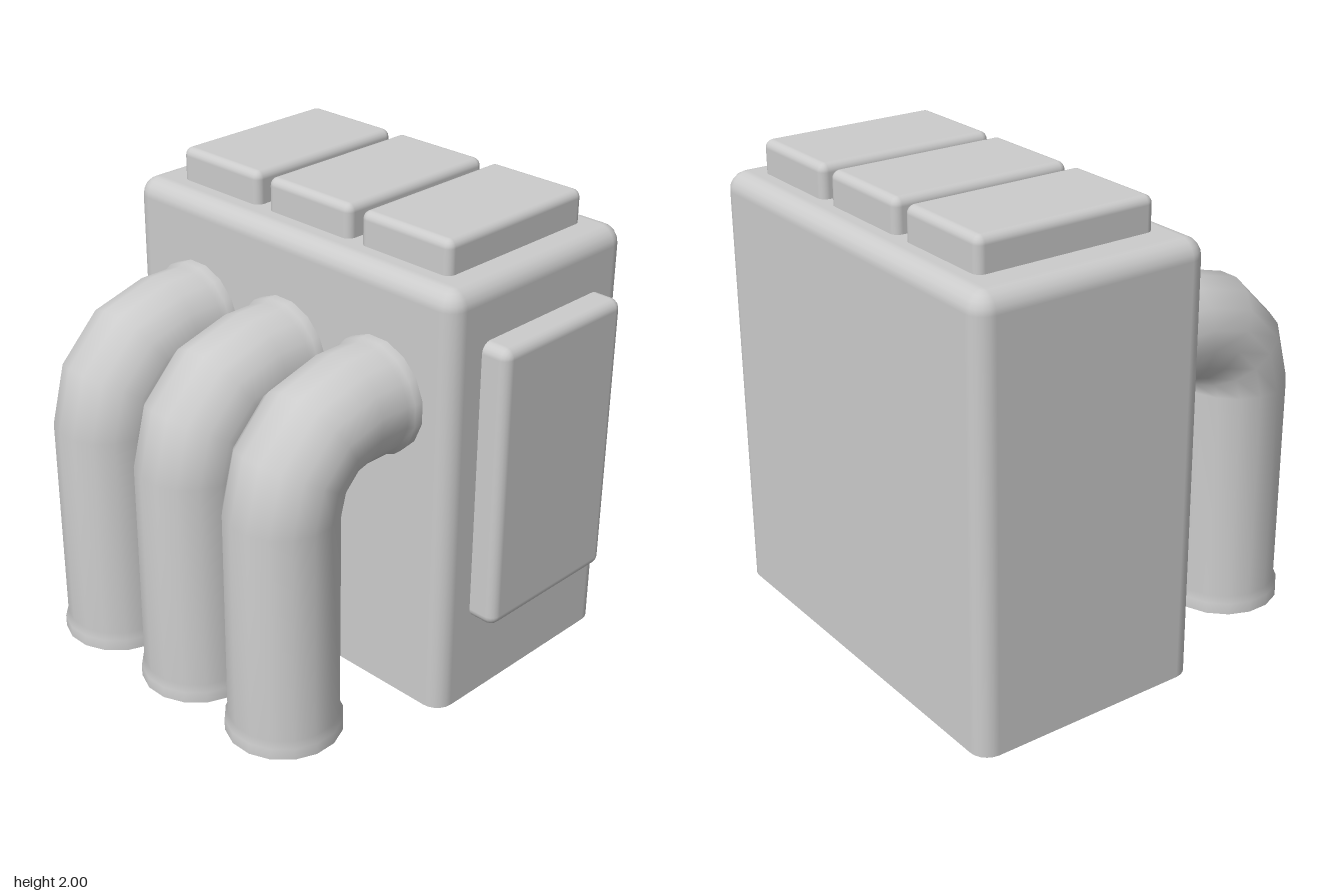
import * as THREE from 'three';

const material = new THREE.MeshStandardMaterial({ color: 0xcccccc, side: THREE.DoubleSide });

function makeMesh(name, positions, index, normals) {
  const g = new THREE.BufferGeometry();
  g.setAttribute('position', new THREE.Float32BufferAttribute(positions, 3));
  g.setIndex(index);
  if (normals) g.setAttribute('normal', new THREE.Float32BufferAttribute(normals, 3));
  else g.computeVertexNormals();
  const mesh = new THREE.Mesh(g, material);
  mesh.name = name;
  return mesh;
}

// Box open at the bottom, with rounded upright edges and a rounded top rim
function roundedShell(name, width, height, depth, r, steps = 5) {
  const pos = [], nor = [], index = [];
  const count = 4 * (steps + 1);
  const addRing = (y, phi) => {
    for (let corner = 0; corner < 4; corner++) {
      const sx = corner === 0 || corner === 3 ? 1 : -1;
      const sz = corner < 2 ? 1 : -1;
      for (let k = 0; k <= steps; k++) {
        const t = (corner + k / steps) * Math.PI / 2;
        const nx = Math.cos(phi) * Math.cos(t), nz = Math.cos(phi) * Math.sin(t);
        pos.push(sx * (width / 2 - r) + r * nx, y, sz * (depth / 2 - r) + r * nz);
        nor.push(nx, Math.sin(phi), nz);
      }
    }
  };
  addRing(0, 0);
  for (let k = 0; k <= steps; k++) {
    const phi = k / steps * Math.PI / 2;
    addRing(height - r + r * Math.sin(phi), phi);
  }
  for (let j = 0; j <= steps; j++) {
    for (let i = 0; i < count; i++) {
      const a = j * count + i, b = j * count + (i + 1) % count;
      index.push(a, a + count, b, b, a + count, b + count);
    }
  }
  // flat top
  const top = (steps + 1) * count;
  for (let i = 1; i < count - 1; i++) index.push(top, top + i + 1, top + i);
  return makeMesh(name, pos, index, nor);
}

// Bent pipe with a collar at each open end, leaving the wall and turning down
function bentPipe(name) {
  const sides = 16, pipeR = 0.229, collarR = 0.242;
  const bendZ = 0.35, bendY = 1.03, bendR = 0.31;
  const wall = bendY + bendR, drop = bendZ + bendR;
  // each ring: z, y, turn in degrees, radius
  const rings = [
    [0.14, wall, 0, collarR],
    [0.185, wall, 0, collarR],
    [0.212, wall, 0, pipeR],
  ];
  for (let deg = 0; deg <= 90; deg += 30) {
    const a = THREE.MathUtils.degToRad(deg);
    rings.push([bendZ + bendR * Math.sin(a), bendY + bendR * Math.cos(a), deg, pipeR]);
  }
  rings.push([drop, 0.11, 90, pipeR], [drop, 0.08, 90, collarR], [drop, 0.03, 90, collarR]);

  const pos = [], index = [];
  rings.forEach(([z, y, deg, r], j) => {
    const a = THREE.MathUtils.degToRad(deg);
    for (let i = 0; i < sides; i++) {
      const t = (i + 0.5) / sides * Math.PI * 2;
      const out = r * Math.sin(t);
      pos.push(r * Math.cos(t), y + out * Math.cos(a), z + out * Math.sin(a));
      if (j < rings.length - 1) {
        const p = j * sides + i, q = j * sides + (i + 1) % sides;
        index.push(p, q, p + sides, q, q + sides, p + sides);
      }
    }
  });
  return makeMesh(name, pos, index);
}

export function createModel() {
  const model = new THREE.Group();
  model.name = 'pipedCabinet';

  // main housing
  const body = roundedShell('body', 1.8, 1.86, 1.04, 0.08);
  body.position.set(-0.06, 0, -0.375);
  model.add(body);

  // three columns, each with a lid on top and a pipe in front
  for (let i = 0; i < 3; i++) {
    const x = -0.57 + i * 0.517;
    const lid = roundedShell(`topLid${i + 1}`, 0.46, 0.15, 0.795, 0.035);
    lid.position.set(x + 0.01, 1.85, -0.377);
    const pipe = bentPipe(`pipe${i + 1}`);
    pipe.position.x = x + 0.003;
    model.add(lid, pipe);
  }

  // raised panel on the left side
  const panel = roundedShell('sidePanel', 1.235, 0.13, 0.715, 0.045);
  panel.rotation.z = -Math.PI / 2;
  panel.position.set(0.83, 1.003, -0.385);
  model.add(panel);

  return model;
}
